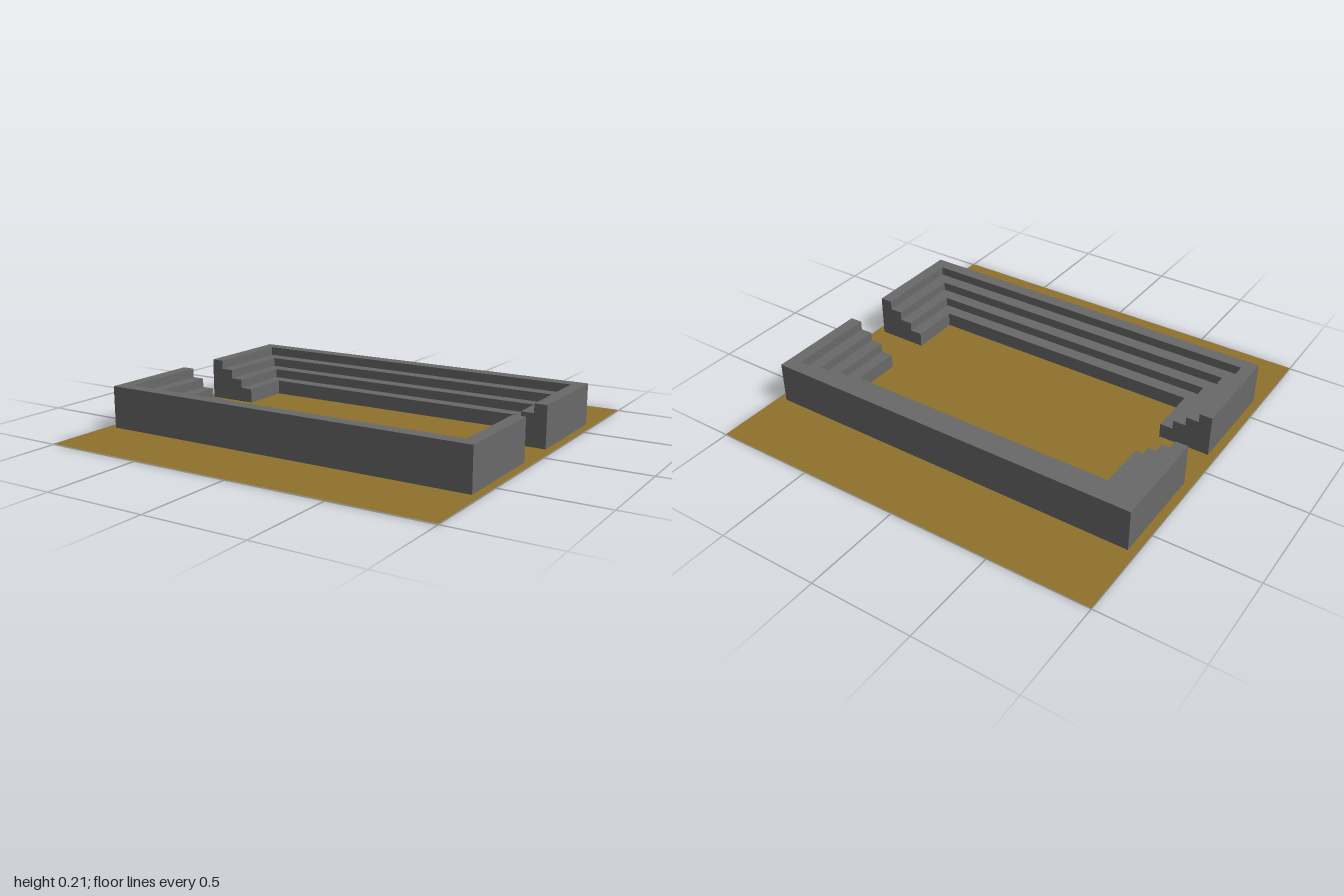
import * as THREE from 'three';

export function createModel() {
  const model = new THREE.Group();
  const stone = new THREE.MeshStandardMaterial({ color: 0x696969, flatShading: true });
  const sand = new THREE.MeshStandardMaterial({ color: 0x8f712b, side: THREE.DoubleSide });

  const groundY = 0.003;
  const outerX = 0.96, outerZ = 0.636; // outer faces of the stands
  const depthX = 0.063, depthZ = 0.0665; // tread depths
  const gateZ = 0.12; // half width of the side entrances
  const tiers = 4, topY = 0.21, rise = 0.045;

  // Box given by its lower and upper corners
  function block(name, x0, x1, y0, y1, z0, z1) {
    const mesh = new THREE.Mesh(new THREE.BoxGeometry(x1 - x0, y1 - y0, z1 - z0), stone);
    mesh.position.set((x0 + x1) / 2, (y0 + y1) / 2, (z0 + z1) / 2);
    mesh.name = name;
    return mesh;
  }

  // Flat arena floor
  const floor = new THREE.Mesh(new THREE.PlaneGeometry(2, 2), sand);
  floor.name = 'ground';
  floor.rotation.x = -Math.PI / 2;
  floor.position.y = groundY;
  model.add(floor);

  // One U-shaped tiered stand, highest at the outside
  function makeStand(name) {
    const stand = new THREE.Group();
    stand.name = name;
    for (let i = 0; i < tiers; i++) {
      const y = topY - i * rise;
      const x1 = outerX - i * depthX, x0 = x1 - depthX;
      const z1 = outerZ - i * depthZ, z0 = z1 - depthZ;
      stand.add(block('longTier', -x0, x0, 0, y, z0, z1));
      stand.add(block('leftTier', x0, x1, groundY, y, gateZ, z1));
      stand.add(block('rightTier', -x1, -x0, groundY, y, gateZ, z1));
    }
    return stand;
  }

  const back = makeStand('backStand');
  back.rotation.y = Math.PI;
  model.add(makeStand('frontStand'), back);
  return model;
}
